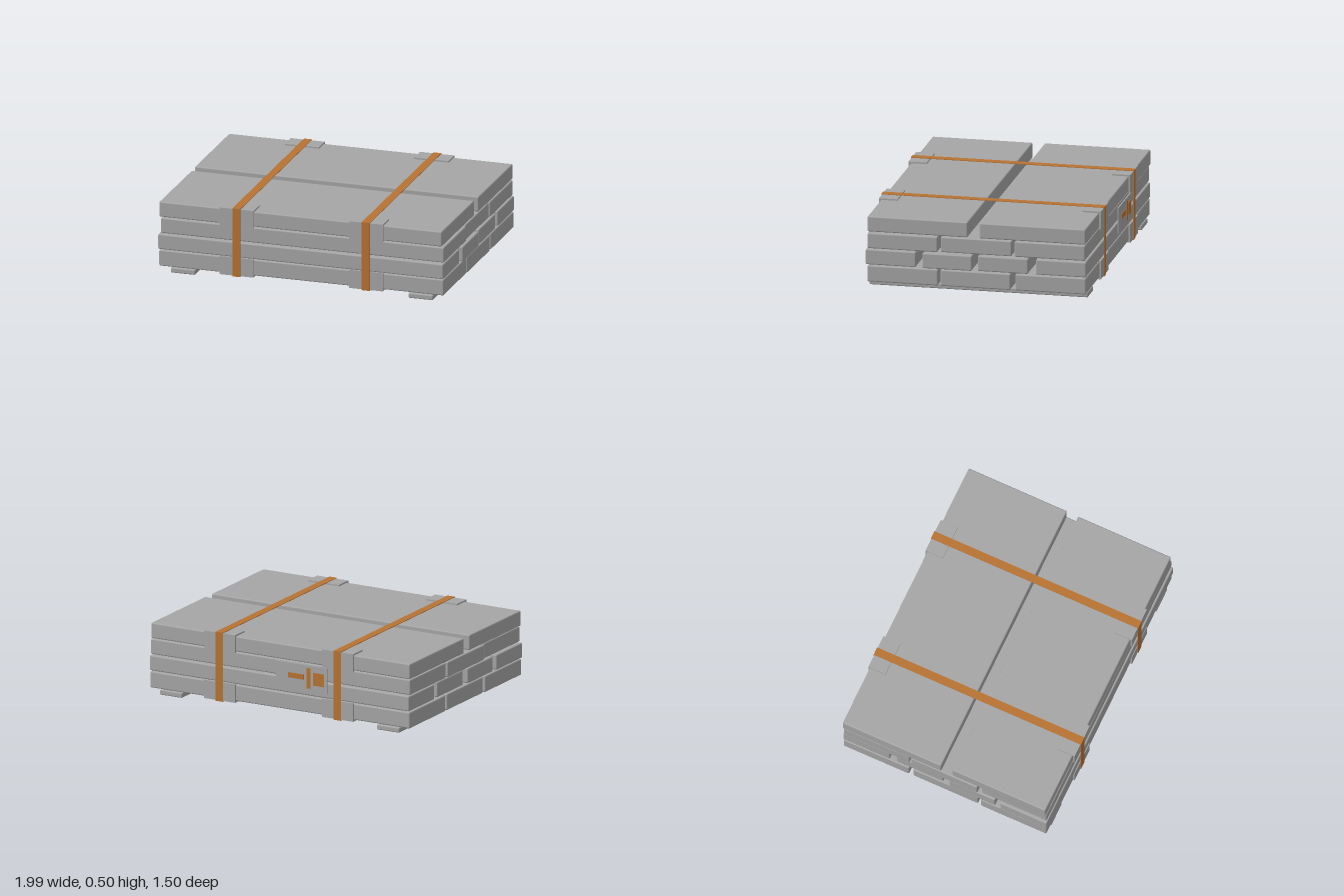
import * as THREE from 'three';
import { RoundedBoxGeometry } from 'three/addons/geometries/RoundedBoxGeometry.js';

export function createModel() {
  const model = new THREE.Group();
  model.name = 'strappedPlankStack';
  const grey = new THREE.MeshStandardMaterial({ color: 0xa6a6a6 });
  grey.name = 'grey board';
  const orange = new THREE.MeshStandardMaterial({ color: 0xb87333 });
  orange.name = 'orange strap';

  // Box given by its minimum and maximum on each axis; optional rounded edge
  function block(name, parent, mat, [x0, x1], [y0, y1], [z0, z1], r = 0) {
    const size = [x1 - x0, y1 - y0, z1 - z0];
    const geo = r ? new RoundedBoxGeometry(...size, 2, r) : new THREE.BoxGeometry(...size);
    const mesh = new THREE.Mesh(geo, mat);
    mesh.name = name;
    mesh.position.set((x0 + x1) / 2, (y0 + y1) / 2, (z0 + z1) / 2);
    parent.add(mesh);
    return mesh;
  }

  function group(name) {
    const g = new THREE.Group();
    g.name = name;
    model.add(g);
    return g;
  }

  // Skids under both ends
  for (const [x0, x1] of [[-0.905, -0.735], [0.74, 0.91]]) {
    block('skid', model, grey, [x0, x1], [0, 0.035], [-0.735, 0.735], 0.008);
  }

  // Plank courses: height range, then [z0, z1, x0, x1, turn] for each plank
  const courses = [
    { y: [0.04, 0.15], planks: [
      [0.26, 0.735, -0.985, 0.983, 0.001],
      [-0.23, 0.24, -0.98, 0.985, -0.001],
      [-0.735, -0.26, -0.983, 0.983, 0.002]] },
    { y: [0.157, 0.26], planks: [
      [0.405, 0.743, -0.99, 0.985, -0.002],
      [0.03, 0.362, -0.985, 0.995, 0.002],
      [-0.35, -0.012, -0.975, 0.985, -0.002],
      [-0.737, -0.4, -0.98, 0.985, 0.001]] },
    { y: [0.268, 0.372], planks: [
      [0.262, 0.733, -0.975, 0.985, 0.001],
      [-0.237, 0.24, -0.99, 0.975, -0.002],
      [-0.73, -0.255, -0.985, 0.98, 0.001]] },
    { y: [0.378, 0.482], planks: [
      [0.058, 0.732, -0.985, 0.972, -0.003],
      [-0.735, -0.022, -0.988, 0.977, -0.002]] },
  ];
  courses.forEach(({ y, planks }, i) => {
    const course = group('plankCourse' + (i + 1));
    for (const [z0, z1, x0, x1, turn] of planks) {
      block('plank', course, grey, [x0, x1], y, [z0, z1], 0.009).rotation.y = turn;
    }
  });

  // Two straps, each with four corner protectors
  const outerZ = 0.75, top = 0.497, bottom = 0.025, t = 0.004;
  for (const x of [-0.445, 0.45]) {
    const strap = group('strap');
    const w = [x - 0.0275, x + 0.0275];
    block('strapTop', strap, orange, w, [top - t, top], [-outerZ, outerZ]);
    block('strapBottom', strap, orange, w, [bottom, bottom + t], [-outerZ, outerZ]);
    block('strapFront', strap, orange, w, [bottom, top], [outerZ - t, outerZ]);
    block('strapBack', strap, orange, w, [bottom, top], [-outerZ, -outerZ + t]);

    const pads = group('cornerProtectors');
    const pw = [x - 0.118, x + 0.118];
    for (const s of [-1, 1]) {
      const range = (a, b) => (s > 0 ? [a, b] : [-b, -a]);
      block('topFlange', pads, grey, pw, [0.481, 0.492], range(0.622, 0.746));
      block('upperSide', pads, grey, pw, [0.37, 0.492], range(0.735, 0.746));
      block('bottomFlange', pads, grey, pw, [0.03, 0.041], range(0.622, 0.746));
      block('lowerSide', pads, grey, pw, [0.03, 0.155], range(0.735, 0.746));
    }
  }

  // Tag plate with simple painted marks on the back
  const tag = group('backTag');
  block('tagPlate', tag, grey, [-0.365, 0.022], [0.19, 0.365], [-0.745, -0.737]);
  const marks = [
    [[-0.19, -0.07], [0.265, 0.3]],
    [[-0.24, -0.213], [0.21, 0.348]],
    [[-0.342, -0.26], [0.235, 0.322]],
  ];
  for (const [mx, my] of marks) block('tagMark', tag, orange, mx, my, [-0.749, -0.744]);

  return model;
}
